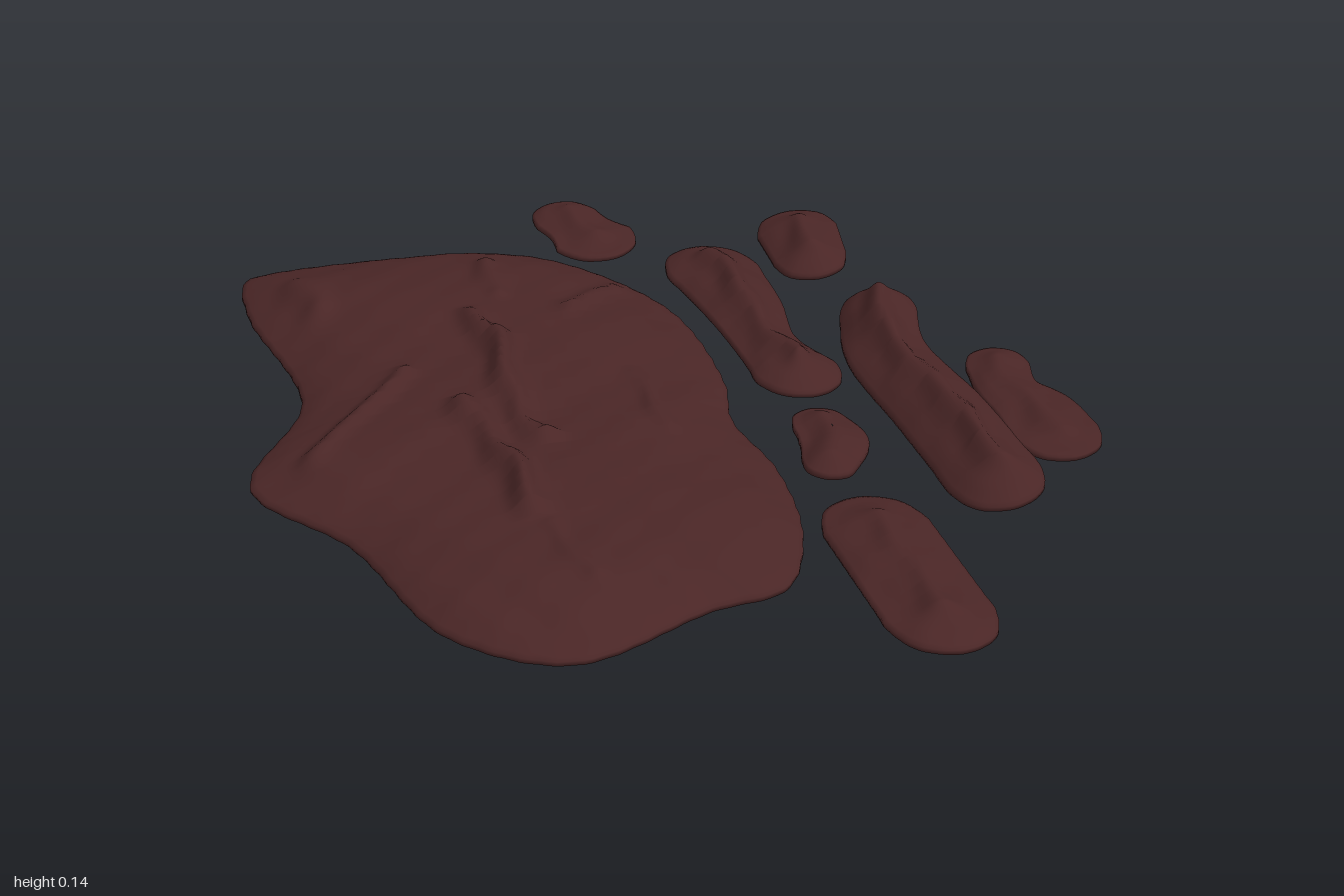
import * as THREE from 'three';
import { mergeVertices } from 'three/addons/utils/BufferGeometryUtils.js';

// Distance from a point to a polyline [[x, z], ...]
function distance(line, x, z) {
  let best = Infinity;
  for (let i = 0; i < line.length - 1; i++) {
    const [ax, az] = line[i], [bx, bz] = line[i + 1];
    const dx = bx - ax, dz = bz - az;
    const t = THREE.MathUtils.clamp(((x - ax) * dx + (z - az) * dz) / (dx * dx + dz * dz), 0, 1);
    best = Math.min(best, Math.hypot(x - ax - dx * t, z - az - dz * t));
  }
  return best;
}

// Soft lumps and grain of the surface
function lumps(x, z) {
  return 0.004 * Math.sin(9 * x + 5 * z + 2 * Math.sin(7 * z))
    + 0.003 * Math.sin(17 * z - 12 * x + Math.sin(19 * x))
    + 0.0018 * Math.sin(41 * x + 13 * z) * Math.sin(37 * z - 9 * x);
}

// Slab: rings run from the spine over the top, round the rim and back along the hollow underside
function slab({ outline, spine, base, tilt, rise, power, ridges, segments, rings }) {
  const curve = new THREE.CatmullRomCurve3(
    outline.map(([x, z]) => new THREE.Vector3(x, 0, z)), true, 'centripetal');
  const rim = curve.getSpacedPoints(segments).slice(0, segments);
  const gap = (p, s) => Math.hypot(p.x - s[0], p.z - s[1]);
  const feet = rim.map(p => spine.reduce((a, b) => (gap(p, b) < gap(p, a) ? b : a)));
  const pos = [], index = [], total = rings * 2 + 2;

  for (let i = 0; i < total; i++) {
    const under = i > rings;
    const r = (under ? total - 1 - i : i) / rings;
    const fade = 1 - Math.pow(r, power);
    for (let j = 0; j < segments; j++) {
      const [fx, fz] = feet[j];
      const reach = r * (1 + 0.003 * Math.sin(j * 1.7) * r);
      const x = fx + (rim[j].x - fx) * reach;
      const z = fz + (rim[j].z - fz) * reach;
      let h = rise * fade + lumps(x, z) * Math.min(1, fade * 2);
      for (const { line, height, width } of ridges) {
        const wobble = 0.008 * Math.sin(31 * z + 23 * x);
        const d = distance(line, x + wobble, z) / width;
        const beat = 0.8 + 0.2 * Math.sin(14 * z + 5 * x);
        h += height * beat * Math.exp(-d * d) * Math.min(1, fade * 2.5);
      }
      const foot = base + tilt * (x - spine[0][0]);
      pos.push(x, under ? foot + 0.7 * h : foot + 0.01 + h, z);
    }
  }
  for (let i = 0; i < total - 1; i++) {
    for (let j = 0; j < segments; j++) {
      const a = i * segments + j, b = i * segments + (j + 1) % segments;
      const c = a + segments, d = b + segments;
      index.push(a, b, c, b, d, c);
    }
  }
  let geo = new THREE.BufferGeometry();
  geo.setAttribute('position', new THREE.Float32BufferAttribute(pos, 3));
  geo.setIndex(index);
  geo = mergeVertices(geo, 1e-5);
  geo.computeVertexNormals();
  return geo;
}

// Rounded strip along a crest of [x, z, half width] points, running back to front
function strip(crest, base, rise, height, tilt = 0) {
  const curve = new THREE.CatmullRomCurve3(crest.map(([x, z, r]) => new THREE.Vector3(x, r, z)));
  const outline = [], steps = 8;
  const edge = (t, angle) => {
    const p = curve.getPoint(t), dir = curve.getTangent(t).setY(0).normalize();
    const c = Math.cos(angle) * p.y, s = Math.sin(angle) * p.y;
    outline.push([p.x + dir.z * c + dir.x * s, p.z - dir.x * c + dir.z * s]);
  };
  for (let side = 0; side < 2; side++) {
    for (let i = 0; i <= steps; i++) edge(side ? 1 - i / steps : i / steps, side * Math.PI);
    for (let i = 1; i < 4; i++) edge(1 - side, (side + i / 4) * Math.PI);
  }
  const spine = curve.getPoints(10).map(p => [p.x, p.z]);
  return slab({
    outline, spine, base, tilt, rise, power: 1.8, segments: 140, rings: 12,
    ridges: [{ line: spine, height, width: 0.028 }],
  });
}

export function createModel() {
  const group = new THREE.Group();
  const material = new THREE.MeshStandardMaterial({ color: 0x4a2626 });
  material.name = 'dark red brown';

  const add = (name, geo) => {
    const mesh = new THREE.Mesh(geo, material);
    mesh.name = name;
    group.add(mesh);
  };

  // Large slab with its wrinkles
  add('mainSlab', slab({
    outline: [[-0.69, -0.86], [-0.61, -0.88], [-0.14, -0.81], [0.01, -0.72], [0.18, -0.43],
      [0.19, -0.08], [0.15, 0.08], [0.17, 0.29], [0.13, 0.54], [0.03, 0.7], [-0.13, 0.72],
      [-0.44, 0.8], [-0.64, 0.64], [-0.74, 0.27], [-0.88, 0], [-0.7, -0.29], [-0.72, -0.71]],
    spine: Array.from({ length: 25 }, (_, i) => [-0.3, -0.45 + i * 0.035]),
    base: 0.022, tilt: 0, rise: 0.067, power: 3.5, segments: 260, rings: 44,
    ridges: [
      { line: [[-0.29, -0.42], [-0.26, -0.31], [-0.31, 0.03], [-0.28, 0.1]], height: 0.042, width: 0.028 },
      { line: [[-0.4, -0.05], [-0.38, 0.2], [-0.38, 0.36]], height: 0.042, width: 0.03 },
      { line: [[-0.37, 0.42], [-0.34, 0.61]], height: 0.01, width: 0.02 },
      { line: [[-0.48, -0.24], [-0.74, 0]], height: 0.02, width: 0.025 },
      { line: [[0.08, -0.52], [-0.07, -0.4]], height: 0.016, width: 0.022 },
      { line: [[-0.17, -0.66], [-0.2, -0.5]], height: 0.022, width: 0.028 },
      { line: [[-0.01, -0.1], [-0.02, 0.14]], height: 0.012, width: 0.018 },
      { line: [[-0.6, -0.72], [-0.59, -0.6]], height: 0.022, width: 0.04 },
    ],
  }));

  // Small loose pieces
  add('backPiece', strip([[0.1, -0.92, 0.08], [0.115, -0.86, 0.08], [0.13, -0.8, 0.1]],
    0.022, 0.014, 0.014));
  add('innerBackPiece', strip([[0.345, -0.58, 0.11], [0.35, -0.4, 0.095], [0.34, -0.22, 0.075],
    [0.36, -0.08, 0.1]], 0.016, 0.03, 0.03, -0.06));
  add('outerBackPiece', strip([[0.59, -0.665, 0.095], [0.57, -0.53, 0.085]], 0.03, 0.03, 0.02, 0.08));
  add('longPiece', strip([[0.62, -0.245, 0.085], [0.57, -0.08, 0.09], [0.58, 0.2, 0.1],
    [0.58, 0.49, 0.1]], 0.034, 0.042, 0.032, 0.1));
  add('outerFrontPiece', strip([[0.78, 0.05, 0.07], [0.76, 0.15, 0.07], [0.78, 0.25, 0.09],
    [0.78, 0.36, 0.095]], 0.025, 0.013, 0.014));
  add('smallFrontPiece', strip([[0.33, 0.14, 0.065], [0.33, 0.21, 0.075], [0.29, 0.29, 0.06]],
    0.015, 0.022, 0.014, -0.05));
  add('frontPiece', strip([[0.29, 0.54, 0.115], [0.285, 0.88, 0.115]], 0.01, 0.028, 0.018, -0.05));
  return group;
}
